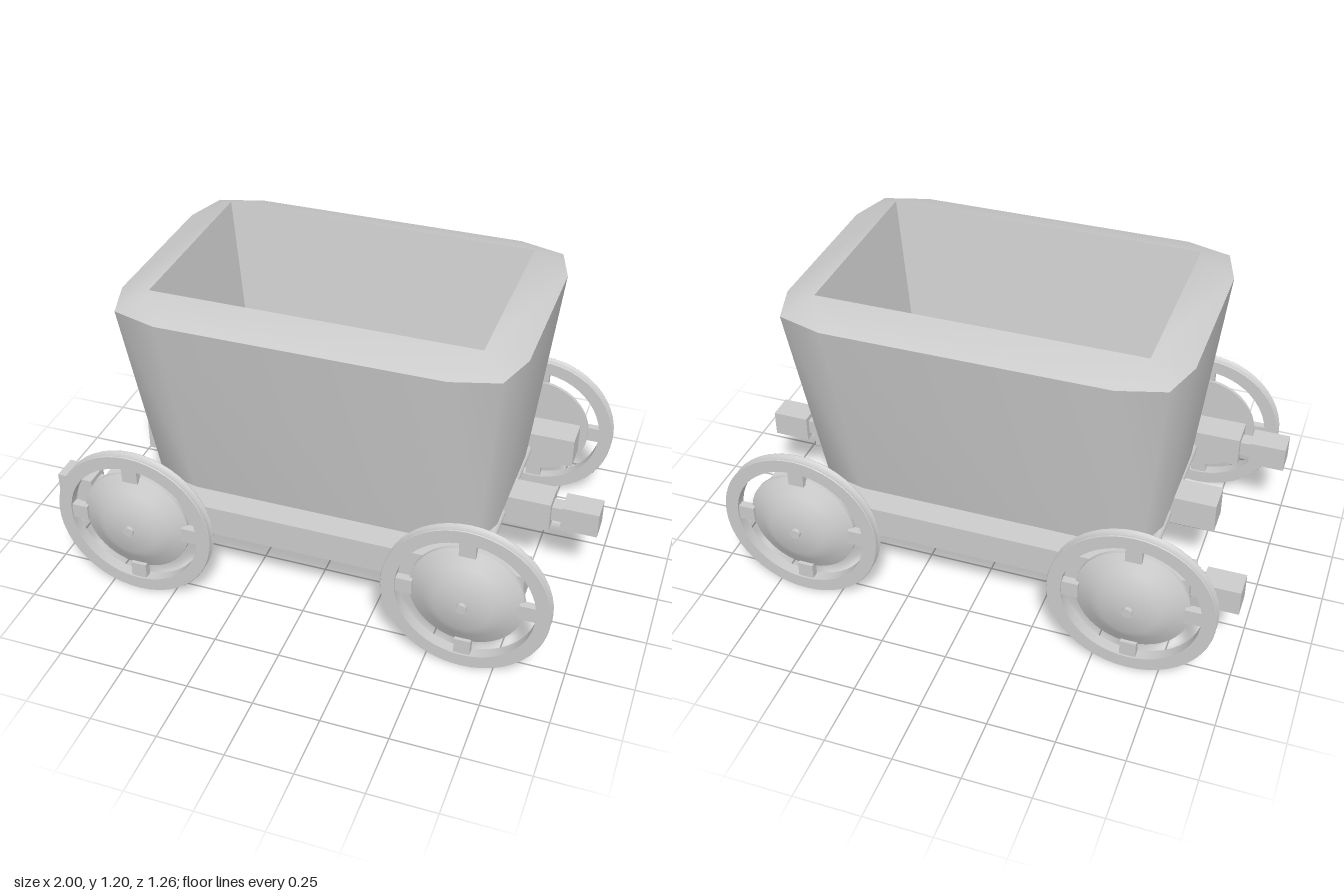
import * as THREE from 'three';
import { toCreasedNormals } from 'three/addons/utils/BufferGeometryUtils.js';

const material = new THREE.MeshStandardMaterial({ color: 0xcccccc });

function add(parent, name, geometry, x = 0, y = 0, z = 0) {
  const mesh = new THREE.Mesh(geometry, material);
  mesh.name = name;
  mesh.position.set(x, y, z);
  parent.add(mesh);
  return mesh;
}

// Twelve-point ring at height y; three [x, z] points describe one corner and are mirrored.
function ring(y, corner) {
  const back = [...corner].reverse();
  return [
    ...corner.map(([x, z]) => [x, y, z]),
    ...back.map(([x, z]) => [-x, y, z]),
    ...corner.map(([x, z]) => [-x, y, -z]),
    ...back.map(([x, z]) => [x, y, -z]),
  ];
}

// Surface band between two rings.
function band(a, b) {
  const pos = [];
  a.forEach((p, i) => {
    const j = (i + 1) % a.length;
    pos.push(...p, ...b[i], ...b[j], ...p, ...b[j], ...a[j]);
  });
  const g = new THREE.BufferGeometry();
  g.setAttribute('position', new THREE.Float32BufferAttribute(pos, 3));
  return toCreasedNormals(g, 1.1);
}

function makeTub() {
  const tub = new THREE.Group();
  tub.name = 'tub';
  const corner = [[0.74, 0.3], [0.69, 0.46], [0.52, 0.51]];
  const scaled = (sx, sz) => corner.map(([x, z]) => [x * sx, z * sz]);
  const rect = (x, z) => [[x, z], [x, z], [x, z]];
  const rings = [
    ring(0.345, rect(0, 0)),
    ring(0.345, scaled(0.8, 0.63)),
    ring(0.385, scaled(0.89, 0.75)),
    ring(1.15, corner),
    ring(1.2, rect(0.6, 0.365)),
    ring(0.42, rect(0.47, 0.233)),
    ring(0.42, rect(0, 0)),
  ];
  const names = ['underside', 'bottomBevel', 'outerWall', 'rim', 'innerWall', 'floor'];
  names.forEach((name, i) => add(tub, name, band(rings[i], rings[i + 1])));
  return tub;
}

// Solid of revolution about z from [radius, z] points.
function turned(points, crease) {
  const g = new THREE.LatheGeometry(points.map(([r, z]) => new THREE.Vector2(r, z)), 48);
  g.rotateX(Math.PI / 2);
  return toCreasedNormals(g, crease);
}

// Wheel centred on its rim, outer face towards +z.
function makeWheel() {
  const wheel = new THREE.Group();
  wheel.name = 'wheel';
  // Rim with a shallow grooved tread
  add(wheel, 'wheelRim', turned([
    [0.255, -0.022], [0.306, -0.022], [0.308, -0.018], [0.299, -0.009], [0.297, 0],
    [0.299, 0.009], [0.308, 0.018], [0.306, 0.022], [0.255, 0.022], [0.255, -0.022],
  ], 0.7));
  // Conical hub disc
  add(wheel, 'hubDisc', turned([
    [0, -0.022], [0.21, -0.022], [0.21, -0.008], [0.15, 0.025], [0.105, 0.05], [0, 0.053],
  ], 0.8));
  for (let i = 0; i < 4; i++) {
    const a = (i * Math.PI) / 2;
    const spoke = add(wheel, 'spoke', new THREE.BoxGeometry(0.075, 0.06, 0.03),
      0.23 * Math.cos(a), 0.23 * Math.sin(a), 0);
    spoke.rotation.z = a;
  }
  return wheel;
}

export function createModel() {
  const model = new THREE.Group();
  model.name = 'mineCart';
  model.add(makeTub());

  // Chassis beams, each with a buffer at one end
  for (const [z, end] of [[-0.425, -1], [0, 1], [0.425, -1]]) {
    add(model, 'beam', new THREE.BoxGeometry(1.64, 0.12, 0.12), 0, 0.328, z);
    add(model, 'bufferNeck', new THREE.BoxGeometry(0.07, 0.06, 0.06), end * 0.845, 0.328, z);
    add(model, 'buffer', new THREE.BoxGeometry(0.14, 0.1, 0.1), end * 0.93, 0.328, z);
  }

  // Axles and wheels
  for (const x of [-0.635, 0.635]) {
    const axle = new THREE.CylinderGeometry(0.019, 0.019, 1.26, 20).rotateX(Math.PI / 2);
    add(model, 'axle', axle, x, 0.31, 0);
    for (const side of [-1, 1]) {
      const wheel = makeWheel();
      wheel.position.set(x, 0.31, side * 0.563);
      if (side < 0) wheel.rotation.y = Math.PI;
      model.add(wheel);
    }
  }
  return model;
}
